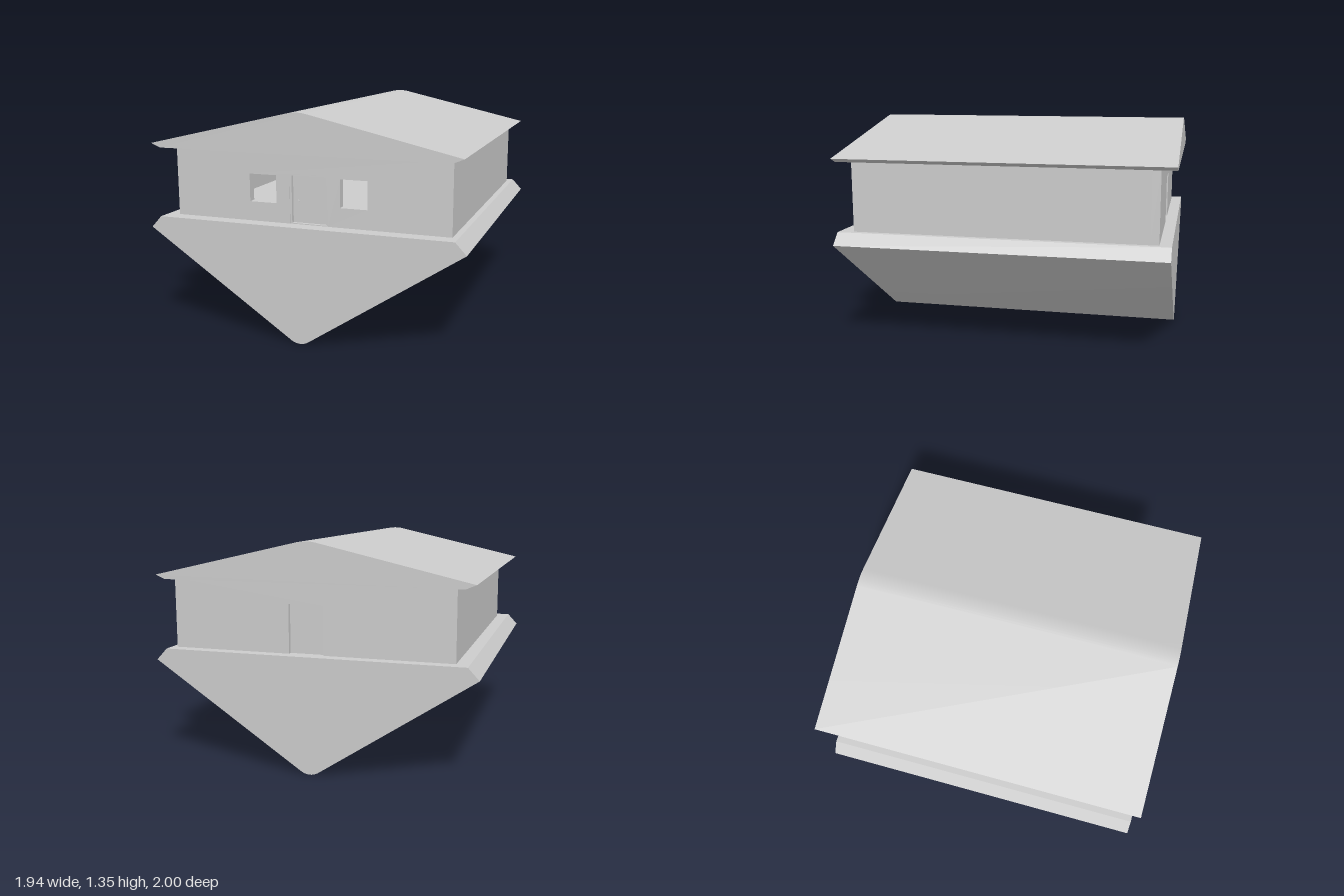
import * as THREE from 'three';
import { toCreasedNormals } from 'three/addons/utils/BufferGeometryUtils.js';

const material = new THREE.MeshStandardMaterial({ color: 0xcccccc });
const FLOOR = 0.695, EAVES = 1.117;
const LEFT = 0.87, RIGHT = -0.83, FRONT = 0.905, BACK = -0.91, THICK = 0.05;

function add(group, name, geometry, x = 0, y = 0, z = 0) {
  const mesh = new THREE.Mesh(geometry, material);
  mesh.name = name;
  mesh.position.set(x, y, z);
  group.add(mesh);
  return mesh;
}

// Box given by its two extreme corners
function block(group, name, [x0, y0, z0], [x1, y1, z1]) {
  return add(group, name, new THREE.BoxGeometry(x1 - x0, y1 - y0, z1 - z0),
    (x0 + x1) / 2, (y0 + y1) / 2, (z0 + z1) / 2);
}

// Extrude a front-facing shape between two depths
function prism(group, name, shape, z0, z1) {
  const geometry = new THREE.ExtrudeGeometry(shape, { depth: z1 - z0, bevelEnabled: false, curveSegments: 8 });
  return add(group, name, toCreasedNormals(geometry, 0.5), 0, 0, z0);
}

// Symmetrical section: flat edge, slanted lip, then slopes to a rounded apex
function gableShape(flatX, flatY, lipX, lipY, roundX, roundY, apexY) {
  const s = new THREE.Shape();
  s.moveTo(-flatX, flatY);
  s.lineTo(flatX, flatY);
  s.lineTo(lipX, lipY);
  s.lineTo(roundX, roundY);
  s.quadraticCurveTo(0, apexY, -roundX, roundY);
  s.lineTo(-lipX, lipY);
  s.closePath();
  return s;
}

function rect(PathType, x0, y0, x1, y1) {
  const p = new PathType();
  p.moveTo(x0, y0);
  p.lineTo(x1, y0);
  p.lineTo(x1, y1);
  p.lineTo(x0, y1);
  p.closePath();
  return p;
}

// End wall whose outline steps around a doorway, with optional window holes
function endWall(doorX0, doorX1, doorTop, windows) {
  const s = new THREE.Shape();
  [[RIGHT, FLOOR], [doorX0, FLOOR], [doorX0, doorTop], [doorX1, doorTop],
    [doorX1, FLOOR], [LEFT, FLOOR], [LEFT, EAVES], [RIGHT, EAVES]]
    .forEach(([x, y], i) => (i ? s.lineTo(x, y) : s.moveTo(x, y)));
  s.closePath();
  for (const [x0, x1] of windows) s.holes.push(rect(THREE.Path, x0, 0.81, x1, 0.975));
  return s;
}

export function createModel() {
  const house = new THREE.Group();
  house.name = 'house';

  // Keel-shaped base and gabled roof
  prism(house, 'base', gableShape(0.905, FLOOR, 0.97, 0.625, 0.05, 0.014, -0.014), -0.98, 0.995);
  prism(house, 'roof', gableShape(0.885, 1.115, 0.945, 1.14, 0.06, 1.343, 1.357), -1, 1);

  // Hollow walls
  prism(house, 'frontWall', endWall(-0.09, 0.145, 0.99, [[-0.345, -0.175], [0.22, 0.385]]),
    FRONT - THICK, FRONT);
  prism(house, 'backWall', endWall(-0.065, 0.145, 0.985, []), BACK, BACK + THICK);
  block(house, 'leftWall', [LEFT - THICK, FLOOR, BACK + THICK], [LEFT, EAVES, FRONT - THICK]);
  block(house, 'rightWall', [RIGHT, FLOOR, BACK + THICK], [RIGHT + THICK, EAVES, FRONT - THICK]);

  // Front door: frame, recessed leaf and handle
  const door = new THREE.Group();
  door.name = 'frontDoor';
  house.add(door);
  const frame = rect(THREE.Shape, -0.09, FLOOR, 0.145, 0.99);
  frame.holes.push(rect(THREE.Path, -0.078, FLOOR + 0.005, 0.135, 0.978));
  prism(door, 'doorFrame', frame, FRONT - THICK, FRONT - 0.003);
  block(door, 'doorLeaf', [-0.078, FLOOR, FRONT - THICK], [0.135, 0.978, FRONT - 0.025]);
  block(door, 'handleStem', [-0.049, 0.828, FRONT - 0.025], [-0.043, 0.838, FRONT - 0.015]);
  block(door, 'handleLever', [-0.049, 0.828, FRONT - 0.015], [-0.035, 0.832, FRONT - 0.01]);

  // Plain recessed back door
  block(house, 'backDoor', [-0.065, FLOOR, BACK + 0.025], [0.145, 0.985, BACK + THICK]);

  return house;
}
